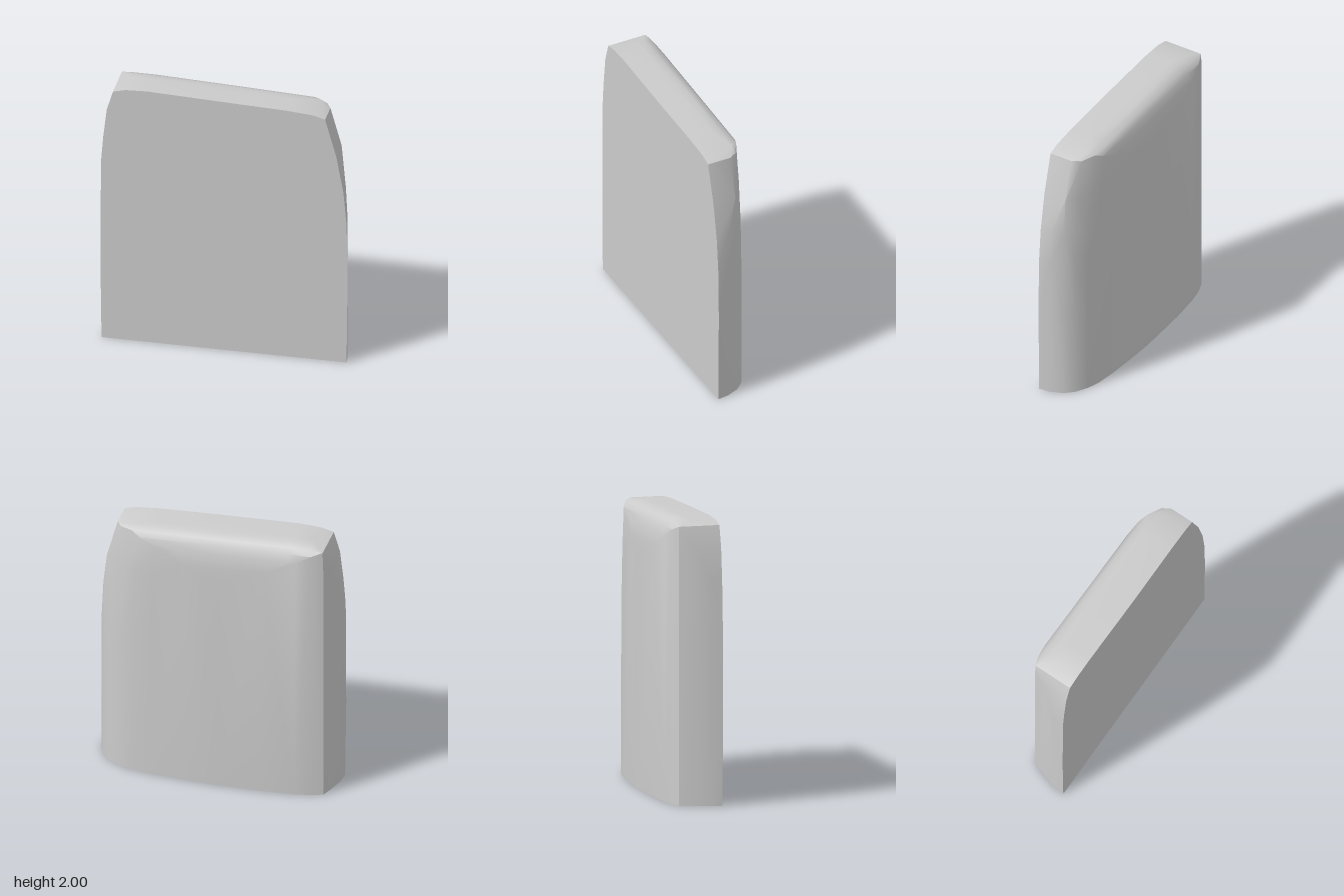
import * as THREE from 'three';
import { ConvexGeometry } from 'three/addons/geometries/ConvexGeometry.js';
import { toCreasedNormals } from 'three/addons/utils/BufferGeometryUtils.js';

// Arched front outline [x, y], from the foot on one side over the top to the other
const OUTLINE = [
  [-0.872, 0], [-0.88, 0.6], [-0.876, 1.4], [-0.86, 1.6], [-0.835, 1.82], [-0.79, 1.97],
  [-0.7, 1.993], [-0.55, 2], [0, 1.985], [0.25, 1.978], [0.45, 1.97], [0.64, 1.945], [0.72, 1.92],
  [0.8, 1.63], [0.85, 1.35], [0.872, 1.1], [0.88, 0.7], [0.872, 0],
];

// Layers from front to back: [z, min x, max x, drop of the top edge, extra taper of the +x top corner]
const LAYERS = [
  [0.182, -0.88, 0.88, 0, 0],
  [0.09, -0.862, 0.862, 0, 0],
  [0, -0.835, 0.825, 0, 0.03],
  [-0.06, -0.815, 0.77, 0.005, 0.1],
  [-0.11, -0.795, 0.68, 0.025, 0.1],
  [-0.14, -0.71, 0.59, 0.06, 0.08],
  [-0.16, -0.6, 0.44, 0.12, 0.05],
  [-0.178, -0.37, 0.2, 0.22, 0],
  [-0.185, -0.05, 0.05, 0.32, 0],
];

function layerPoints([z, minX, maxX, drop, taper], index) {
  return OUTLINE.map(([x, y]) => {
    const px = THREE.MathUtils.clamp(x, minX, maxX - taper * (y / 2) ** 4);
    const py = Math.min(y, 2 - 0.04 * Math.max(0, px + 0.5) - drop);
    // The front face leans back very slightly towards +x
    const pz = index === 0 ? z - 0.012 * Math.max(0, px) : z;
    return new THREE.Vector3(px, py, pz);
  });
}

export function createModel() {
  const group = new THREE.Group();
  group.name = 'panel';

  // Flat front and base, softly rounded back
  const geometry = toCreasedNormals(new ConvexGeometry(LAYERS.flatMap(layerPoints)), 0.6);
  const body = new THREE.Mesh(geometry, new THREE.MeshStandardMaterial({ color: 0xcccccc }));
  body.name = 'roundedPanelBody';
  group.add(body);

  return group;
}
